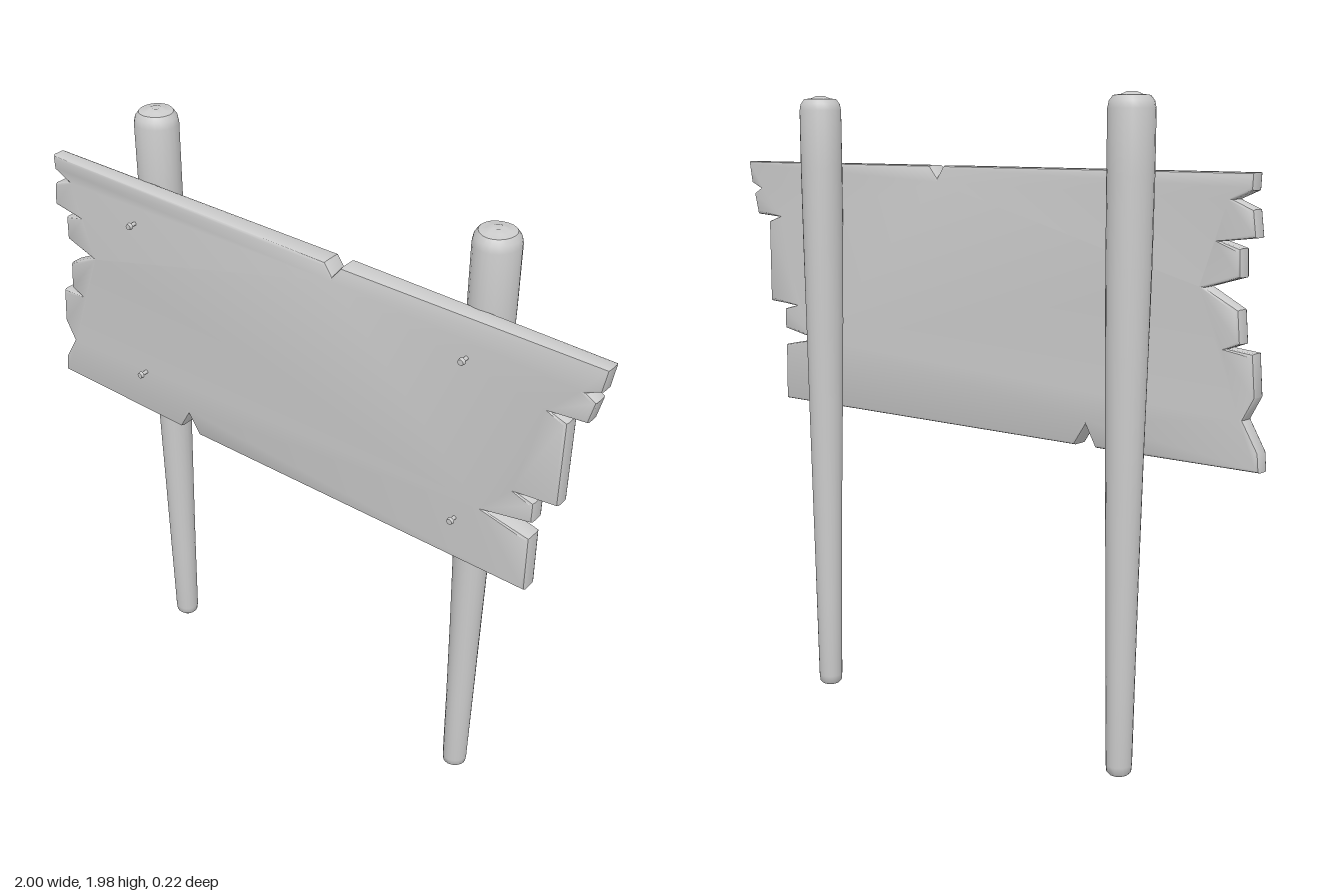
import * as THREE from 'three';
import { toCreasedNormals } from 'three/addons/utils/BufferGeometryUtils.js';

const material = new THREE.MeshStandardMaterial({ color: 0xcccccc });

function addMesh(parent, name, geometry, x = 0, y = 0, z = 0) {
  const mesh = new THREE.Mesh(geometry, material);
  mesh.name = name;
  mesh.position.set(x, y, z);
  parent.add(mesh);
  return mesh;
}

// Splintered plank outline, clockwise from the top left corner
const outline = [
  [-0.955, 1.762], [0.115, 1.762], [0.14, 1.725], [0.17, 1.762],
  [0.995, 1.762], [0.983, 1.69], [0.94, 1.672], [0.972, 1.655], [0.955, 1.585],
  [0.85, 1.578], [0.9, 1.562], [0.9, 1.29],
  [0.775, 1.282], [0.83, 1.268], [0.83, 1.2],
  [0.68, 1.175], [0.828, 1.145], [0.83, 0.957],
  [-0.39, 0.955], [-0.43, 1.02], [-0.465, 0.955],
  [-1, 0.955], [-0.995, 1.01], [-0.945, 1.095], [-0.98, 1.16], [-0.97, 1.28],
  [-0.89, 1.287], [-0.93, 1.302], [-0.922, 1.395],
  [-0.815, 1.45], [-0.925, 1.482], [-0.922, 1.56],
  [-0.86, 1.577], [-0.968, 1.59], [-0.958, 1.665],
  [-0.895, 1.69], [-0.953, 1.715],
];

function boardGeometry() {
  const shape = new THREE.Shape(outline.map(([x, y]) => new THREE.Vector2(x, y)));
  const geometry = new THREE.ExtrudeGeometry(shape, {
    depth: 0.044, bevelThickness: 0.012, bevelSize: 0.01, bevelOffset: -0.01, bevelSegments: 2,
  });
  geometry.translate(0, 0, -0.022);
  // The plank thins towards its two worn ends
  const p = geometry.attributes.position;
  for (let i = 0; i < p.count; i++) {
    const wear = THREE.MathUtils.smoothstep(Math.abs(p.getX(i)), 0.65, 1);
    p.setZ(i, p.getZ(i) * (1 - 0.25 * wear));
  }
  return toCreasedNormals(geometry, 0.7);
}

// Tapered round post with a softened top and slightly uneven surface
function postGeometry(phase) {
  const profile = [
    [0, 0], [0.03, 0], [0.037, 0.008], [0.039, 0.03], [0.043, 0.3], [0.048, 0.6], [0.055, 0.95],
    [0.061, 1.25], [0.065, 1.5], [0.067, 1.75], [0.067, 1.93], [0.063, 1.95],
    [0.052, 1.965], [0.03, 1.968], [0.014, 1.975], [0, 1.97],
  ].map(([r, y]) => new THREE.Vector2(r, y));
  const geometry = new THREE.LatheGeometry(profile, 20);
  const p = geometry.attributes.position;
  for (let i = 0; i < p.count; i++) {
    const x = p.getX(i), y = p.getY(i), z = p.getZ(i);
    const k = 1 + 0.02 * Math.sin(3 * Math.atan2(z, x) + 4 * y + phase);
    p.setXYZ(i, x * k, y, z * k);
  }
  return toCreasedNormals(geometry, 0.8);
}

export function createModel() {
  const model = new THREE.Group();
  model.name = 'signpost';

  addMesh(model, 'board', boardGeometry(), 0, 0, 0.046);

  [['rightPost', -0.607], ['leftPost', 0.582]].forEach(([name, x], i) => {
    addMesh(model, name, postGeometry(i * 2), x, 0, -0.041);
  });

  // Four nails holding the board to the posts
  const shaft = new THREE.CylinderGeometry(0.006, 0.006, 0.06, 10).rotateX(Math.PI / 2);
  const head = new THREE.CylinderGeometry(0.009, 0.011, 0.01, 12).rotateX(Math.PI / 2);
  for (const x of [-0.612, 0.588]) {
    for (const y of [1.105, 1.64]) {
      const nail = new THREE.Group();
      nail.name = 'nail';
      nail.position.set(x, y, 0.07);
      addMesh(nail, 'nailShaft', shaft);
      addMesh(nail, 'nailHead', head, 0, 0, 0.031);
      model.add(nail);
    }
  }
  return model;
}
